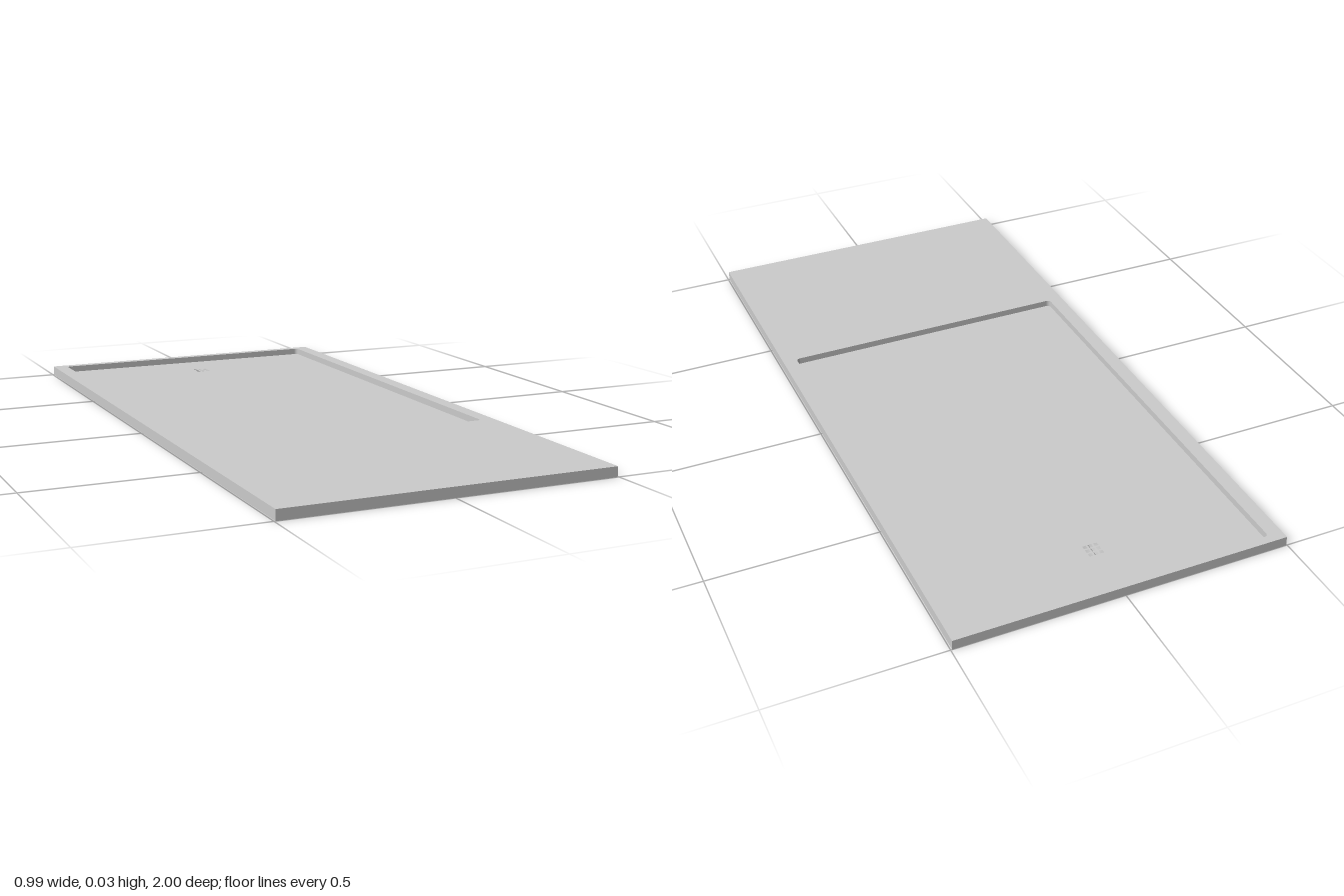
import * as THREE from 'three';

const W = 0.992, L = 2, TOP = 0.03, FLOOR = 0.01;

// Closed rectangle outline with optional rounded corners; plan coordinates are (x, -z)
function rect(Type, cx, cy, w, h, r = 0) {
  const p = new Type();
  const x0 = cx - w / 2, x1 = cx + w / 2, y0 = cy - h / 2, y1 = cy + h / 2;
  p.moveTo(x0 + r, y0);
  p.lineTo(x1 - r, y0);
  if (r) p.absarc(x1 - r, y0 + r, r, -Math.PI / 2, 0);
  p.lineTo(x1, y1 - r);
  if (r) p.absarc(x1 - r, y1 - r, r, 0, Math.PI / 2);
  p.lineTo(x0 + r, y1);
  if (r) p.absarc(x0 + r, y1 - r, r, Math.PI / 2, Math.PI);
  p.lineTo(x0, y0 + r);
  if (r) p.absarc(x0 + r, y0 + r, r, Math.PI, Math.PI * 1.5);
  p.closePath();
  return p;
}

// Upright band following an outline between two heights
function band(path, yLow, yHigh) {
  const pts = path.getPoints(6);
  const pos = [];
  for (let i = 0; i < pts.length; i++) {
    const a = pts[i], b = pts[(i + 1) % pts.length];
    if (a.distanceTo(b) < 1e-6) continue;
    const corners = [[a, yLow], [b, yLow], [b, yHigh], [a, yLow], [b, yHigh], [a, yHigh]];
    for (const [p, y] of corners) pos.push(p.x, y, -p.y);
  }
  const g = new THREE.BufferGeometry();
  g.setAttribute('position', new THREE.Float32BufferAttribute(pos, 3));
  g.computeVertexNormals();
  return g;
}

// Flat horizontal sheet at a given height
function sheet(shape, y) {
  return new THREE.ShapeGeometry(shape, 6).rotateX(-Math.PI / 2).translate(0, y, 0);
}

export function createModel() {
  const group = new THREE.Group();
  group.name = 'showerTray';
  const material = new THREE.MeshStandardMaterial({ color: 0xcccccc, side: THREE.DoubleSide });
  const add = (name, geometry) => {
    const mesh = new THREE.Mesh(geometry, material);
    mesh.name = name;
    group.add(mesh);
  };

  const basin = (Type) => rect(Type, 0, 0.3, 0.904, 1.35, 0.012);

  // Top deck with the basin opening, and the outer skirt, open underneath
  const deck = rect(THREE.Shape, 0, 0, W, L);
  deck.holes.push(basin(THREE.Path));
  add('deck', sheet(deck, TOP));
  add('skirt', band(rect(THREE.Path, 0, 0, W, L), 0, TOP));

  // Sunken basin with a small grid of drain holes near the back
  const floor = basin(THREE.Shape);
  for (let i = -1; i <= 1; i++) {
    for (let j = -1; j <= 1; j++) {
      floor.holes.push(rect(THREE.Path, i * 0.0165, 0.813 + j * 0.0165, 0.011, 0.011));
    }
  }
  add('basinFloor', sheet(floor, FLOOR));
  add('basinWall', band(basin(THREE.Path), FLOOR, TOP));

  return group;
}
